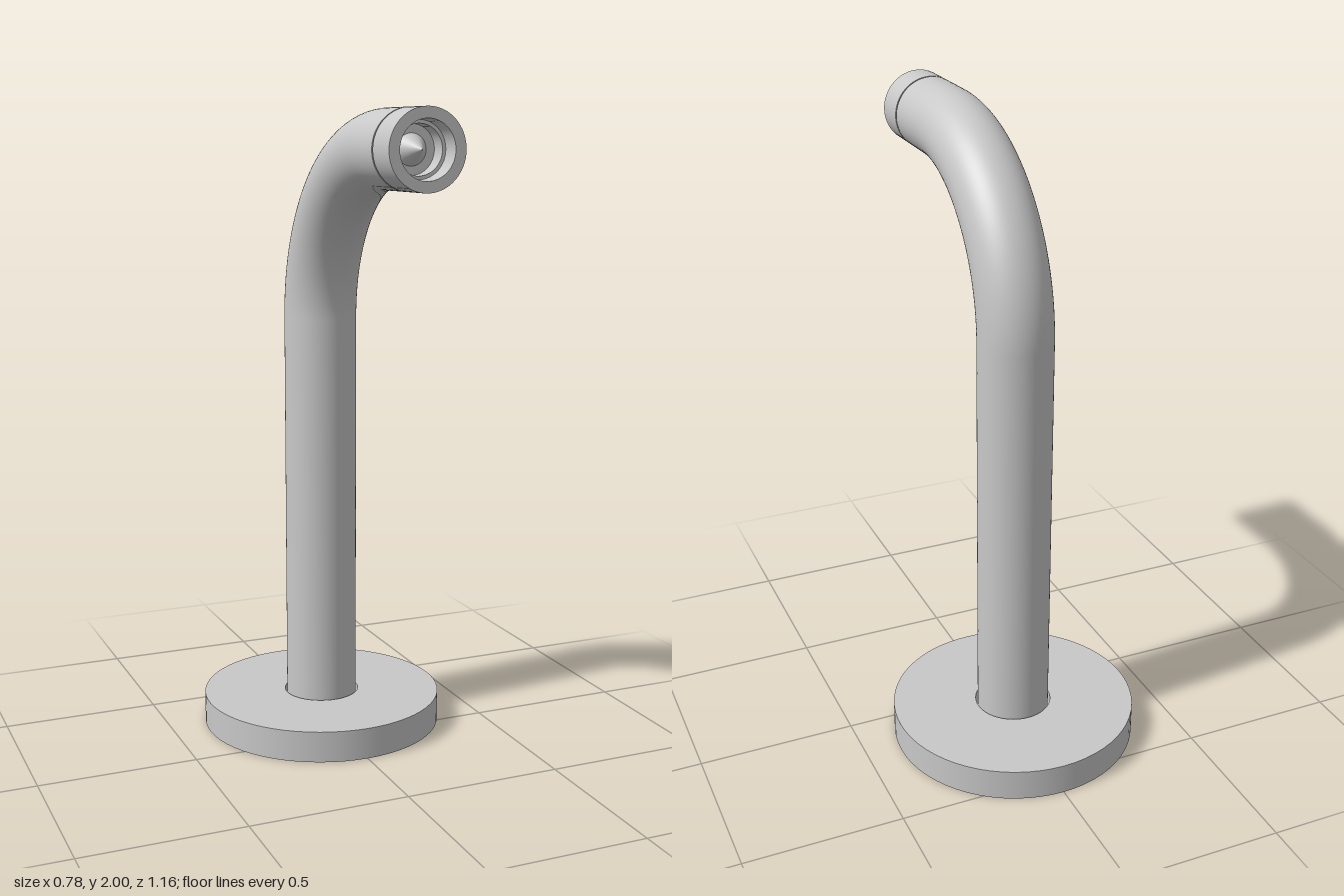
import * as THREE from 'three';

const PIPE_R = 0.115, AXIS_Z = -0.19, TOP_Y = 1.885, BEND_R = 0.53, SIDES = 64;

const metal = new THREE.MeshStandardMaterial({ color: 0xc8c8c8 });
metal.name = 'satin metal';

function add(parent, name, geometry) {
  const mesh = new THREE.Mesh(geometry, metal);
  mesh.name = name;
  parent.add(mesh);
  return mesh;
}

// Lathe with a crisp edge at every profile point: one smooth band per segment
function bands(parent, name, profile) {
  const group = new THREE.Group();
  group.name = name;
  for (let i = 0; i < profile.length - 1; i++) {
    const pts = [profile[i], profile[i + 1]].map(([r, y]) => new THREE.Vector2(r, y));
    add(group, name + 'Face' + (i + 1), new THREE.LatheGeometry(pts, SIDES));
  }
  parent.add(group);
  return group;
}

export function createModel() {
  const model = new THREE.Group();
  model.name = 'wallSpout';

  // Round base plate with a narrow clearance hole around the pipe
  const base = bands(model, 'basePlate', [
    [0, 0], [0.39, 0], [0.39, 0.1], [0.122, 0.1], [0.122, 0.02], [0, 0.02],
  ]);
  base.position.z = AXIS_Z;

  // Pipe: straight riser, quarter bend, short horizontal run
  const bendY = TOP_Y - BEND_R, bendZ = AXIS_Z + BEND_R;
  const riser = add(model, 'riser',
    new THREE.CylinderGeometry(PIPE_R, PIPE_R, bendY - 0.02, SIDES, 1, true));
  riser.position.set(0, (bendY + 0.02) / 2, AXIS_Z);

  const bend = add(model, 'bend',
    new THREE.TorusGeometry(BEND_R, PIPE_R, SIDES, 48, Math.PI / 2));
  bend.rotation.y = Math.PI / 2;
  bend.position.set(0, bendY, bendZ);

  // Horizontal end pieces, turned along +z
  const outlet = new THREE.Group();
  outlet.name = 'outlet';
  outlet.rotation.x = Math.PI / 2;
  outlet.position.y = TOP_Y;
  model.add(outlet);

  // Pipe end, shadow groove, nozzle collar and its stepped hollow mouth
  bands(outlet, 'pipeEnd', [
    [PIPE_R, bendZ], [PIPE_R, 0.472], [0.107, 0.472], [0.107, 0.479], [PIPE_R, 0.479],
  ]);
  bands(outlet, 'nozzleCollar', [
    [PIPE_R, 0.479], [PIPE_R, 0.585], [0.083, 0.585], [0.08, 0.53], [0.07, 0.53], [0.07, 0.48], [0, 0.48],
  ]);

  // Small cone inside the mouth
  const cone = add(outlet, 'innerCone', new THREE.ConeGeometry(0.045, 0.07, 32));
  cone.position.y = 0.515;

  return model;
}
